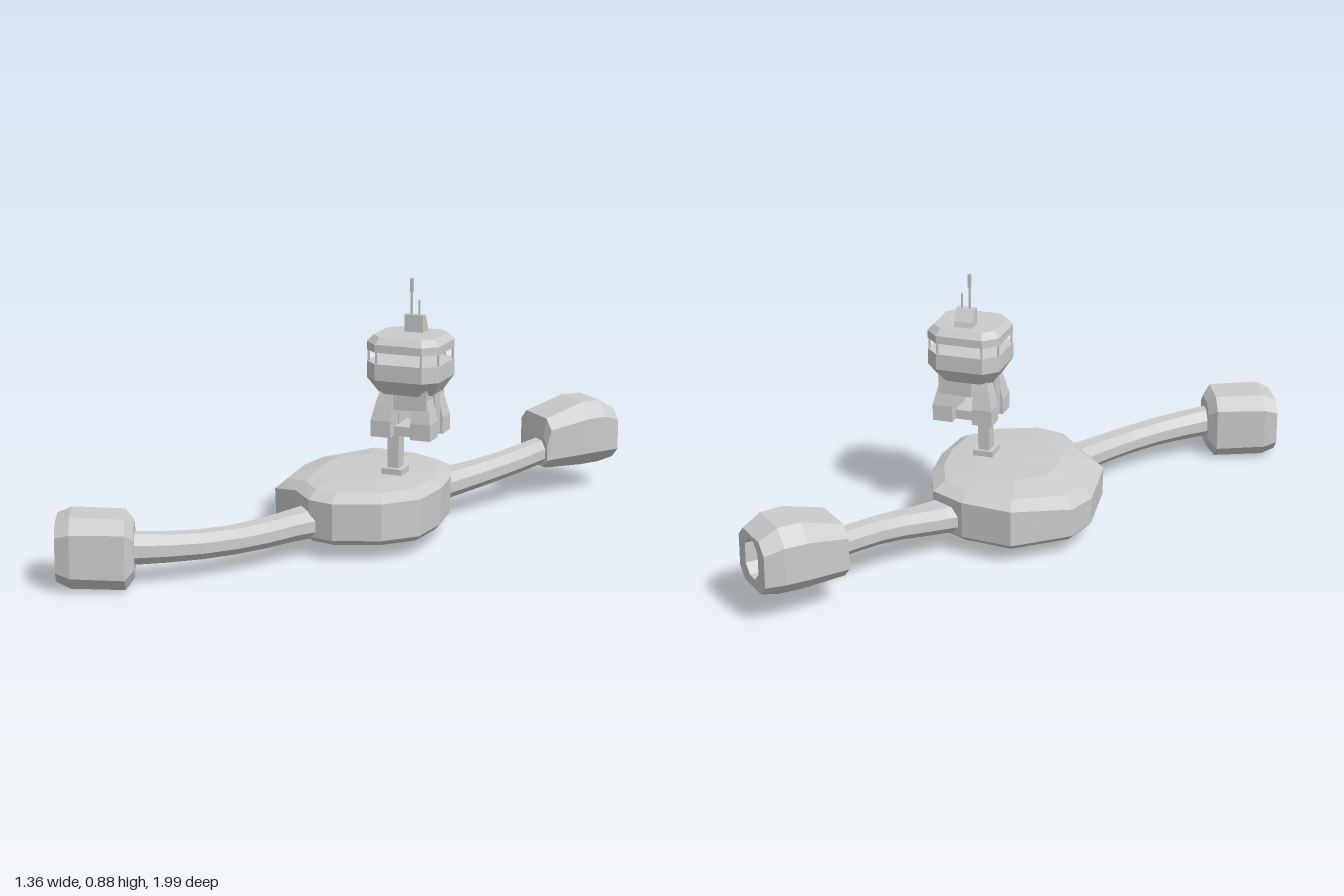
import * as THREE from 'three';

const grey = new THREE.MeshStandardMaterial({ color: 0xcccccc, flatShading: true });

// Skin a list of equal-length rings into a closed, outward-facing faceted mesh
function loft(name, rings) {
  const tris = [], n = rings[0].length;
  for (let r = 0; r < rings.length - 1; r++) {
    for (let i = 0; i < n; i++) {
      const j = (i + 1) % n, a = rings[r], b = rings[r + 1];
      tris.push([a[i], a[j], b[j]], [a[i], b[j], b[i]]);
    }
  }
  const cap = (ring, flip) => {
    const c = ring.reduce((s, p) => s.add(p), new THREE.Vector3()).divideScalar(n);
    ring.forEach((p, i) => {
      const q = ring[(i + 1) % n];
      tris.push(flip ? [c, q, p] : [c, p, q]);
    });
  };
  cap(rings[0], true);
  cap(rings[rings.length - 1], false);
  // A negative volume means the winding points inward
  const cross = new THREE.Vector3();
  const volume = tris.reduce((v, [a, b, c]) => v + a.dot(cross.crossVectors(b, c)), 0);
  if (volume < 0) tris.forEach(t => t.reverse());
  const g = new THREE.BufferGeometry().setFromPoints(tris.flat());
  g.computeVertexNormals();
  const mesh = new THREE.Mesh(g, grey);
  mesh.name = name;
  return mesh;
}

function box(name, x0, x1, y0, y1, z0, z1) {
  const m = new THREE.Mesh(new THREE.BoxGeometry(x1 - x0, y1 - y0, z1 - z0), grey);
  m.position.set((x0 + x1) / 2, (y0 + y1) / 2, (z0 + z1) / 2);
  m.name = name;
  return m;
}

// Chamfered rectangle outline with half sizes a, b
const octagon = (a, b, c) => [
  [a, b - c], [a - c, b], [c - a, b], [-a, b - c],
  [-a, c - b], [c - a, -b], [a - c, -b], [a, c - b]];

// Upright eight-sided section: centre, horizontal side direction, half width and height
function section([x, y, z, w, h], side, k = 0.4) {
  return octagon(w, h, Math.min(w, h) * k).map(([u, v]) =>
    new THREE.Vector3(x + side.x * u, y + v, z + side.z * u));
}

// Bent arm: sections follow a smooth path of [x, y, z, half width, half height]
function arm(name, stations) {
  const curve = new THREE.CatmullRomCurve3(stations.map(s => new THREE.Vector3(...s.slice(0, 3))));
  const steps = 7, rings = [];
  for (let i = 0; i <= steps; i++) {
    const t = i / steps, f = t * (stations.length - 1);
    const k = Math.min(Math.floor(f), stations.length - 2);
    const p = curve.getPoint(t), d = curve.getTangent(t);
    const side = new THREE.Vector3(d.z, 0, -d.x).normalize();
    const [w, h] = [3, 4].map(c => THREE.MathUtils.lerp(stations[k][c], stations[k + 1][c], f - k));
    rings.push(section([p.x, p.y, p.z, w, h], side, 0.6));
  }
  return loft(name, rings);
}

function pod(name, sx, sz, stations) {
  const side = new THREE.Vector3(sx, 0, sz).normalize();
  return loft(name, stations.map(s => section(s, side, s[5])));
}

function createBody() {
  const outline = [
    [-0.05, -0.33], [0.13, -0.31], [0.25, -0.25], [0.31, -0.1], [0.33, 0.05], [0.315, 0.21],
    [0.22, 0.31], [0.07, 0.37], [-0.02, 0.35], [-0.11, 0.25], [-0.22, 0.17], [-0.25, -0.07], [-0.22, -0.19]];
  const levels = [[0.6, 0.053], [0.93, 0.056], [0.99, 0.075], [1, 0.2], [0.86, 0.225], [0.5, 0.235]];
  return loft('body', levels.map(([s, y]) => outline.map(([x, z]) => {
    const px = 0.04 + (x - 0.04) * s;
    const drop = y > 0.1 ? Math.max(0, -px - 0.1) * 0.22 : 0;
    return new THREE.Vector3(px, y - drop, 0.02 + (z - 0.02) * s);
  })));
}

function createHatch() {
  const g = new THREE.Group();
  g.name = 'undersideHatch';
  const shape = new THREE.Shape([[0, -0.05], [0.2, -0.05], [0.2, 0.2], [0, 0.2]].map(p => new THREE.Vector2(...p)));
  shape.holes.push(new THREE.Path([[0.02, -0.03], [0.02, 0.18], [0.18, 0.18], [0.18, -0.03]].map(p => new THREE.Vector2(...p))));
  const frame = new THREE.Mesh(new THREE.ExtrudeGeometry(shape, { depth: 0.012, bevelEnabled: false }), grey);
  frame.rotation.x = Math.PI / 2;
  frame.position.y = 0.06;
  frame.name = 'hatchFrame';
  g.add(frame, box('hatchBoss', 0.085, 0.115, 0.049, 0.06, 0.06, 0.09));
  return g;
}

function createTower() {
  const g = new THREE.Group(), cx = 0.213, cz = 0.033;
  g.name = 'controlTower';
  const ring = (y, a, b, c) => octagon(a, b, c).map(([x, z]) => new THREE.Vector3(cx + x, y, cz + z));

  // Pedestal
  g.add(box('postFoot', 0.127, 0.197, 0.215, 0.255, 0, 0.075));
  g.add(box('post', 0.141, 0.181, 0.22, 0.45, 0.01, 0.057));

  // Four tapered legs around an open centre
  for (const sx of [-1, 1]) {
    for (const sz of [-1, 1]) {
      const rect = (y, ox, oz) => [[0.035, 0.025], [ox, 0.025], [ox, oz], [0.035, oz]]
        .map(([x, z]) => new THREE.Vector3(cx + sx * x, y, cz + sz * z));
      g.add(loft('leg', [rect(0.375, 0.105, 0.095), rect(0.43, 0.105, 0.095), rect(0.495, 0.09, 0.08), rect(0.53, 0.08, 0.07)]));
    }
    const x = cx + sx * 0.065;
    g.add(box('sideRib', x - 0.03, x + 0.03, 0.38, 0.585, cz - 0.025, cz + 0.025));
  }
  g.add(box('centreBlock', 0.183, 0.3, 0.47, 0.585, cz - 0.085, cz + 0.085));
  g.add(box('crossBar', 0.178, 0.25, 0.375, 0.408, cz - 0.06, cz + 0.06));

  // Cabin bowl, open window band and roof
  g.add(loft('cabinBowl', [ring(0.52, 0.095, 0.085, 0.035), ring(0.57, 0.127, 0.118, 0.045), ring(0.625, 0.127, 0.118, 0.045)]));
  octagon(0.122, 0.113, 0.044).forEach(([x, z]) =>
    g.add(box('windowPost', cx + x - 0.003, cx + x + 0.003, 0.62, 0.67, cz + z - 0.003, cz + z + 0.003)));
  g.add(loft('roof', [ring(0.663, 0.127, 0.118, 0.045), ring(0.69, 0.127, 0.118, 0.045), ring(0.712, 0.108, 0.099, 0.035)]));

  // Wedge mast housing and antennas
  const wedge = (y, z0, z1) => [[0.182, z0], [0.247, z0], [0.247, z1], [0.182, z1]]
    .map(([x, z]) => new THREE.Vector3(x, y, z));
  g.add(loft('mastHousing', [wedge(0.71, -0.04, 0.012), wedge(0.73, -0.035, 0.012), wedge(0.77, -0.012, 0.012)]));
  g.add(box('mainAntenna', 0.2, 0.206, 0.765, 0.86, -0.003, 0.003));
  g.add(box('antennaTip', 0.198, 0.208, 0.845, 0.89, -0.005, 0.005));
  g.add(box('shortAntenna', 0.228, 0.233, 0.765, 0.82, -0.003, 0.003));
  return g;
}

export function createModel() {
  const model = new THREE.Group();
  model.name = 'station';
  model.add(createBody(), createHatch(), createTower());

  // Curved arms
  model.add(arm('frontArm', [
    [0, 0.115, 0.24, 0.075, 0.05], [-0.07, 0.112, 0.36, 0.055, 0.045], [-0.16, 0.108, 0.53, 0.05, 0.042],
    [-0.28, 0.112, 0.69, 0.05, 0.043], [-0.43, 0.122, 0.82, 0.05, 0.05]]));
  model.add(arm('backArm', [
    [0.16, 0.12, -0.2, 0.085, 0.05], [0.23, 0.125, -0.3, 0.06, 0.045],
    [0.345, 0.147, -0.47, 0.048, 0.042], [0.45, 0.17, -0.7, 0.045, 0.043]]));

  // End pods, each with a recessed port on its outer face
  model.add(pod('frontPod', 0.42, 0.9, [
    [-0.415, 0.12, 0.818, 0.075, 0.085, 0.5], [-0.44, 0.12, 0.83, 0.105, 0.115, 0.4],
    [-0.6, 0.125, 0.892, 0.112, 0.115, 0.4], [-0.645, 0.125, 0.905, 0.1, 0.095, 0.4],
    [-0.645, 0.13, 0.905, 0.045, 0.05, 0.6], [-0.585, 0.13, 0.885, 0.04, 0.045, 0.6]]));
  model.add(pod('backPod', 0.74, 0.67, [
    [0.427, 0.17, -0.68, 0.075, 0.055, 0.5], [0.415, 0.2, -0.71, 0.108, 0.09, 0.4],
    [0.51, 0.218, -0.825, 0.122, 0.115, 0.45], [0.56, 0.218, -0.885, 0.118, 0.114, 0.45],
    [0.602, 0.205, -0.932, 0.098, 0.09, 0.4],
    [0.602, 0.213, -0.932, 0.05, 0.065, 0.6], [0.56, 0.213, -0.88, 0.045, 0.06, 0.6]]));
  return model;
}
